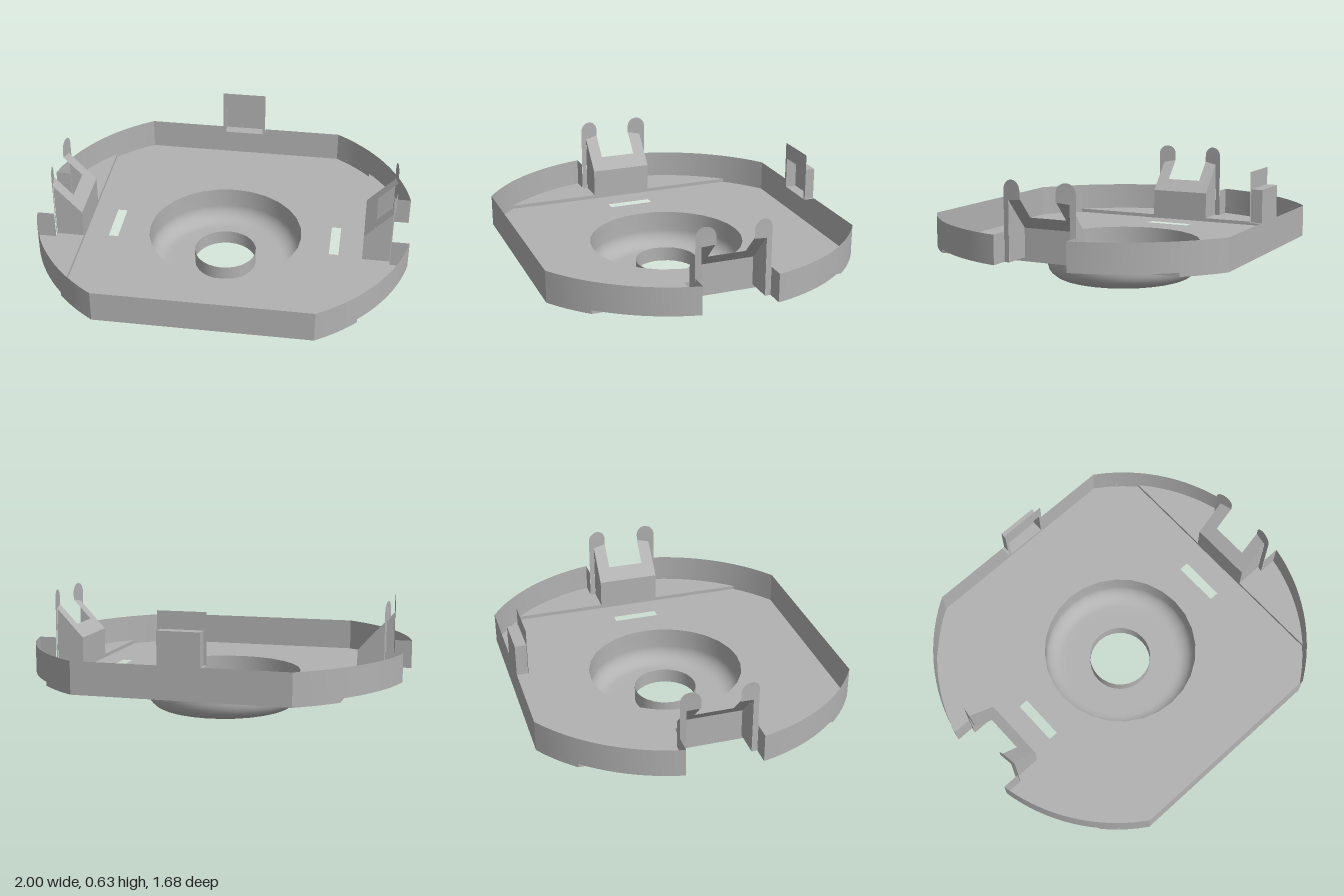
import * as THREE from 'three';

const FLOOR = 0.2, STEP = 0.22, RIM = 0.37;      // heights of tray floor, side floors, rim
const EDGE_Z = 0.84, STEP_X = 0.76, CLIP_R = 0.925;
const DISH_R = 0.42, DISH_SIDES = 28;

const grey = new THREE.MeshStandardMaterial({ color: 0xb2b2b2, side: THREE.DoubleSide });
grey.name = 'grey';

// Rounded side outline: x for a given z, and the reverse
const ARC_C = 0.0236, ARC_R = 0.9966;
const arcX = z => ARC_C + Math.sqrt(ARC_R ** 2 - z * z);
const arcZ = x => Math.sqrt(ARC_R ** 2 - (x - ARC_C) ** 2);
const arcPoints = (z0, z1, n) => Array.from({ length: n + 1 }, (_, i) => {
  const z = z0 + (z1 - z0) * i / n;
  return [arcX(z), z];
});

function addMesh(parent, name, geometry) {
  const mesh = new THREE.Mesh(geometry, grey);
  mesh.name = name;
  parent.add(mesh);
  return mesh;
}

// Thin sheet cut from a 2D outline and placed in space by a rule
function sheet(parent, name, outline, place, holes = []) {
  const toVec = p => new THREE.Vector2(p[0], p[1]);
  const shape = new THREE.Shape(outline.map(toVec));
  holes.forEach(h => shape.holes.push(new THREE.Path(h.map(toVec))));
  const geo = new THREE.ShapeGeometry(shape);
  const pos = geo.attributes.position;
  for (let i = 0; i < pos.count; i++) pos.setXYZ(i, ...place(pos.getX(i), pos.getY(i)));
  geo.computeVertexNormals();
  return addMesh(parent, name, geo);
}

// Upright wall following [x, z] points
function wall(parent, name, points, y0, y1) {
  const verts = [], index = [];
  points.forEach(([x, z], i) => {
    verts.push(x, y0, z, x, y1, z);
    if (i) {
      const a = 2 * i - 2;
      index.push(a, a + 1, a + 2, a + 1, a + 3, a + 2);
    }
  });
  const geo = new THREE.BufferGeometry();
  geo.setAttribute('position', new THREE.Float32BufferAttribute(verts, 3));
  geo.setIndex(index);
  geo.computeVertexNormals();
  return addMesh(parent, name, geo);
}

const rect = (x0, x1, y0, y1) => [[x0, y0], [x1, y0], [x1, y1], [x0, y1]];
const flat = y => (x, z) => [x, y, z];

// One corner: curved wall, raised side floor and half of the snap bracket
function buildCorner() {
  const g = new THREE.Group();
  const zs = arcZ(STEP_X), notchX = 0.907;
  wall(g, 'curvedWall', arcPoints(EDGE_Z, 0.2, 16), STEP, RIM);
  wall(g, 'curvedLip', arcPoints(EDGE_Z, zs, 5), FLOOR, STEP);
  sheet(g, 'sideFloor', [
    ...arcPoints(zs, 0.2, 12), [notchX, 0.2], [notchX, 0.17], [STEP_X, 0.17],
  ], flat(STEP));
  wall(g, 'notchWall', [[notchX, 0.2], [arcX(0.2), 0.2]], STEP, RIM);
  sheet(g, 'bracketCheek', [
    [STEP_X, STEP], [notchX, STEP], [notchX, 0.527], [STEP_X, RIM],
  ], (x, y) => [x, y, 0.17]);

  // Round-topped clip finger, gently curved around the centre
  const finger = [[0.17, STEP], [0.2, STEP]];
  for (let i = 0; i <= 12; i++) {
    const a = Math.PI * i / 12;
    finger.push([0.15 + 0.05 * Math.cos(a), 0.58 + 0.05 * Math.sin(a)]);
  }
  finger.push([0.1, 0.535], [0.17, 0.527]);
  sheet(g, 'clipFinger', finger, (z, y) => [Math.sqrt(CLIP_R ** 2 - z * z), y, z]);
  return g;
}

export function createModel() {
  const model = new THREE.Group();
  model.name = 'mountingTray';

  // Main floor with dish opening and two slots
  const zs = arcZ(STEP_X);
  const side = [...arcPoints(EDGE_Z, zs, 5)];
  const outline = [
    ...side,
    ...side.map(([x, z]) => [x, -z]).reverse(),
    ...side.map(([x, z]) => [-x, -z]),
    ...side.map(([x, z]) => [-x, z]).reverse(),
  ];
  const opening = Array.from({ length: DISH_SIDES }, (_, i) => {
    const a = i / DISH_SIDES * Math.PI * 2;
    return [DISH_R * Math.sin(a), DISH_R * Math.cos(a)];
  });
  sheet(model, 'mainFloor', outline, flat(FLOOR), [
    opening, rect(0.58, 0.632, -0.125, 0.125), rect(-0.632, -0.58, -0.125, 0.125),
  ]);

  // Straight front and back walls
  const ex = arcX(EDGE_Z);
  wall(model, 'frontWall', [[-ex, EDGE_Z], [ex, EDGE_Z]], FLOOR, RIM);
  wall(model, 'backWall', [[-ex, -EDGE_Z], [ex, -EDGE_Z]], FLOOR, RIM);

  // Central dish with rounded bottom and a raised collar around the hole
  const profile = [[DISH_R, FLOOR], [DISH_R, 0.15]];
  for (let i = 0; i <= 8; i++) {
    const a = Math.PI / 2 * i / 8;
    profile.push([DISH_R - 0.09 + 0.09 * Math.cos(a), 0.09 - 0.09 * Math.sin(a)]);
  }
  profile.push([0.3, 0], [0.17, 0]);
  const lathe = pts => new THREE.LatheGeometry(
    pts.map(p => new THREE.Vector2(...p)), DISH_SIDES);
  addMesh(model, 'dish', lathe(profile));
  addMesh(model, 'holeCollar', lathe([[0.17, 0], [0.17, 0.08]]));

  // Left and right ends
  for (const sx of [1, -1]) {
    const end = new THREE.Group();
    end.name = sx > 0 ? 'leftEnd' : 'rightEnd';
    for (const sz of [1, -1]) {
      const corner = buildCorner();
      corner.name = sz > 0 ? 'frontCorner' : 'backCorner';
      corner.scale.z = sz;
      end.add(corner);
    }
    wall(end, 'floorStep', [[STEP_X, -zs], [STEP_X, zs]], FLOOR, STEP);
    wall(end, 'bracketWall', [[STEP_X, -0.17], [STEP_X, 0.17]], STEP, RIM);
    sheet(end, 'bracketSlope', [
      [STEP_X, -0.17], [0.907, -0.17], [0.92, -0.1], [0.82, -0.1],
      [0.82, 0.1], [0.92, 0.1], [0.907, 0.17], [STEP_X, 0.17],
    ], (x, z) => [x, RIM + (x - STEP_X) * 1.07, z]);
    end.scale.x = sx;
    model.add(end);
  }

  // Back latch: shallow box open to the inside, with a taller frame
  const latch = new THREE.Group();
  latch.name = 'backLatch';
  const zIn = -0.78, w = 0.11, W = 0.125, boxTop = 0.54;
  sheet(latch, 'latchFrame', [
    [-W, RIM], [-w, RIM], [-w, boxTop], [w, boxTop],
    [w, RIM], [W, RIM], [W, 0.63], [-W, 0.63],
  ], (x, y) => [x, y, zIn]);
  wall(latch, 'latchBack', [[-w, -EDGE_Z], [w, -EDGE_Z]], RIM, boxTop);
  for (const s of [1, -1]) wall(latch, 'latchSide', [[s * w, -EDGE_Z], [s * w, zIn]], RIM, boxTop);
  sheet(latch, 'latchTop', rect(-w, w, -EDGE_Z, zIn), flat(boxTop));
  sheet(latch, 'latchBase', rect(-W, W, -EDGE_Z, zIn), flat(RIM));
  model.add(latch);

  return model;
}
